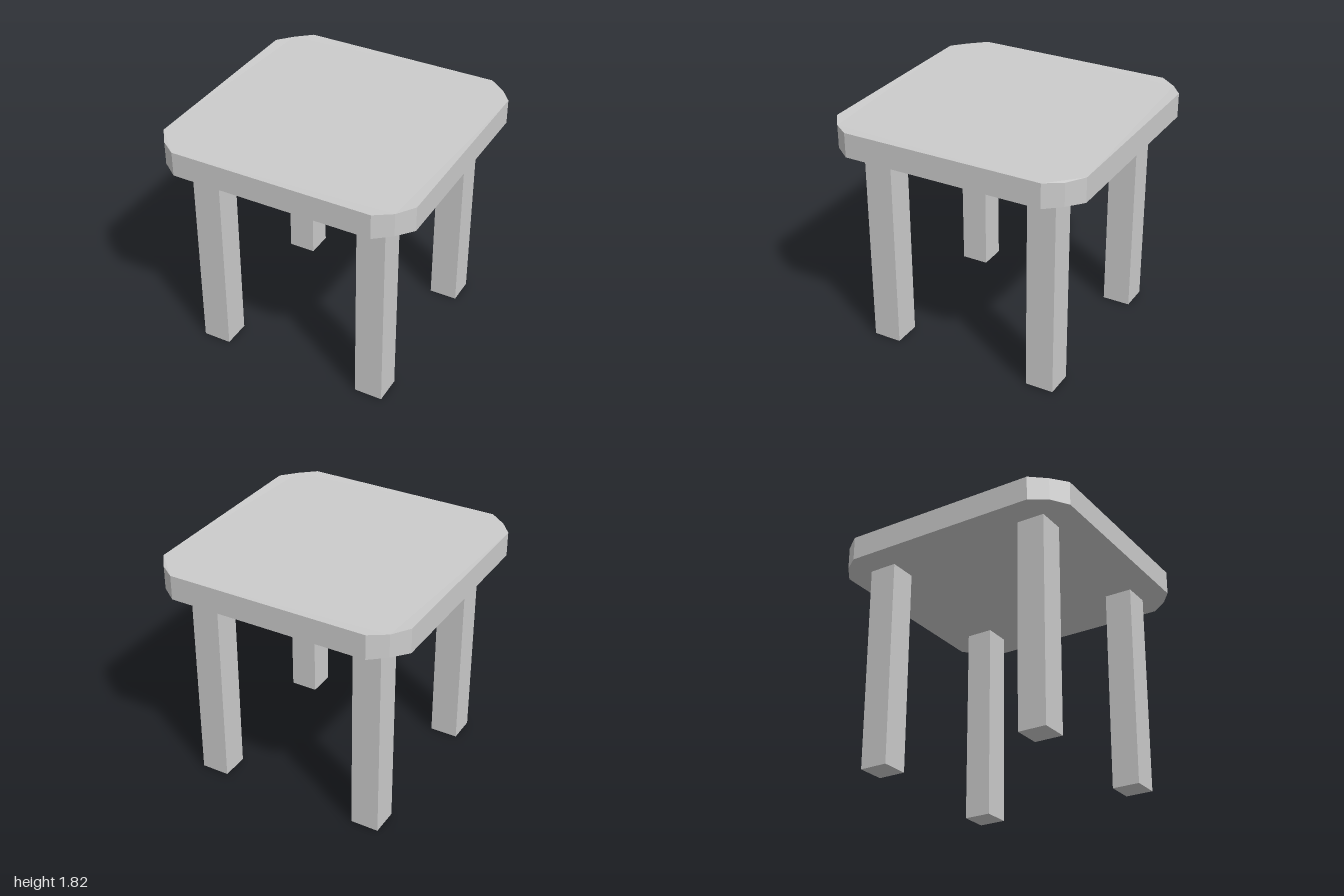
import * as THREE from 'three';

const LEG_HEIGHT = 1.63;
const LEG_WIDTH = 0.22;
const LEG_OFFSET = 0.667;
const TOP_THICKNESS = 0.19;

export function createModel() {
  const group = new THREE.Group();
  group.name = 'stool';
  const material = new THREE.MeshStandardMaterial({ color: 0xcccccc, flatShading: true });

  // Square slab whose corners are cut by two facets each
  const corner = [[1, 0.777], [0.905, 0.905], [0.777, 1]];
  const outline = [];
  for (let i = 0; i < 4; i++) {
    for (const [x, y] of corner) {
      outline.push(new THREE.Vector2(x, y).rotateAround(new THREE.Vector2(), i * Math.PI / 2));
    }
  }
  const slab = new THREE.ExtrudeGeometry(new THREE.Shape(outline), { depth: TOP_THICKNESS, bevelEnabled: false });
  slab.rotateX(-Math.PI / 2);

  // The middle of each corner is very slightly thinner
  const pos = slab.attributes.position;
  for (let i = 0; i < pos.count; i++) {
    const isMiddle = Math.abs(Math.abs(pos.getX(i)) - Math.abs(pos.getZ(i))) < 0.01;
    if (isMiddle) pos.setY(i, pos.getY(i) > TOP_THICKNESS / 2 ? TOP_THICKNESS - 0.006 : 0.006);
  }
  slab.computeVertexNormals();

  const seat = new THREE.Mesh(slab, material);
  seat.name = 'seat';
  seat.position.y = LEG_HEIGHT;
  group.add(seat);

  // Four square legs
  const legGeometry = new THREE.BoxGeometry(LEG_WIDTH, LEG_HEIGHT, LEG_WIDTH);
  for (const x of [-1, 1]) {
    for (const z of [-1, 1]) {
      const leg = new THREE.Mesh(legGeometry, material);
      leg.name = (z > 0 ? 'front' : 'back') + (x > 0 ? 'Left' : 'Right') + 'Leg';
      leg.position.set(x * LEG_OFFSET, LEG_HEIGHT / 2, z * LEG_OFFSET);
      group.add(leg);
    }
  }
  return group;
}
